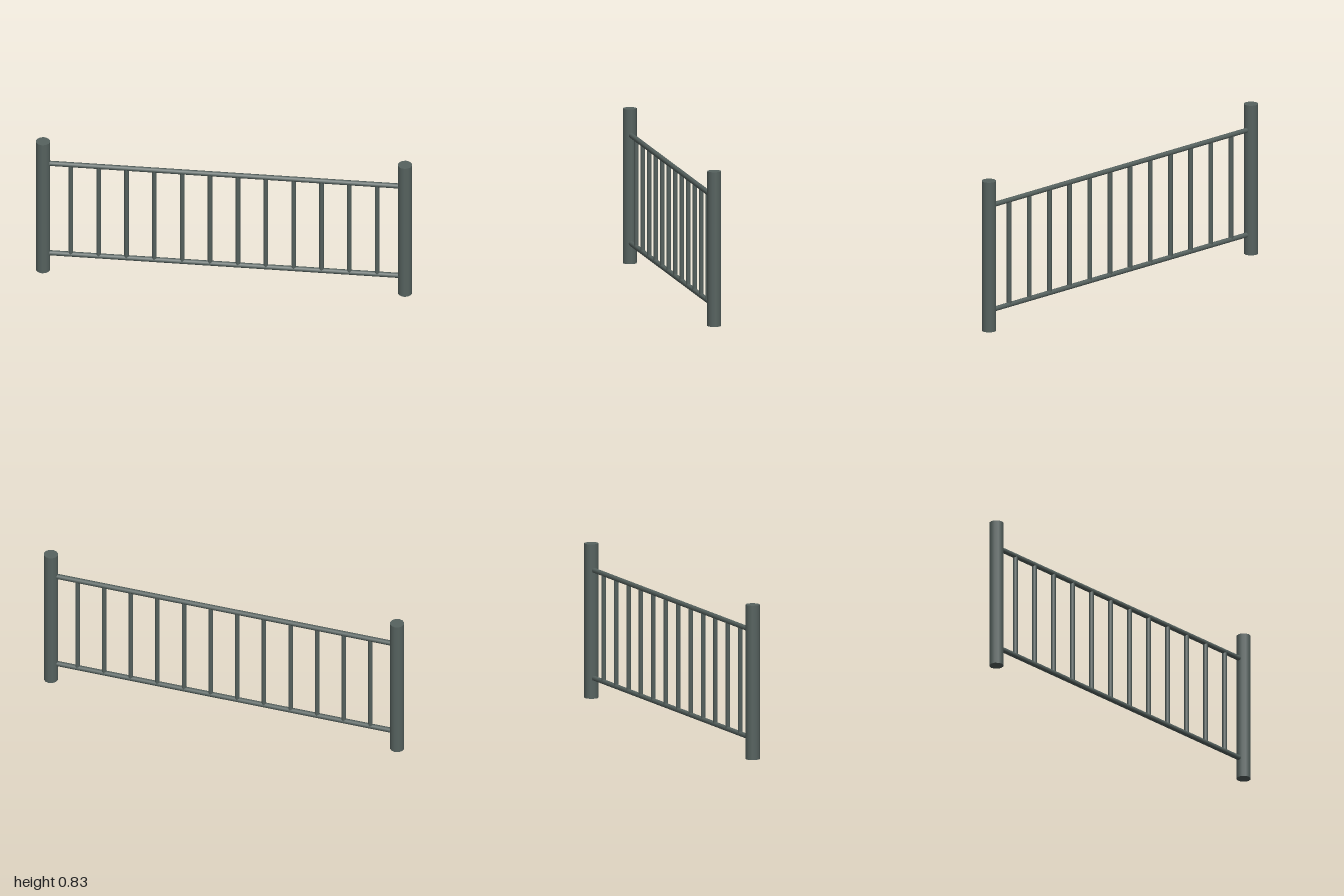
import * as THREE from 'three';

const metal = new THREE.MeshStandardMaterial({ color: 0x56625f });

function rod(name, radius, length, sides, x, y) {
  const mesh = new THREE.Mesh(new THREE.CylinderGeometry(radius, radius, length, sides), metal);
  mesh.name = name;
  mesh.position.set(x, y, 0);
  return mesh;
}

export function createModel() {
  const model = new THREE.Group();
  model.name = 'railing';

  // End posts
  const postHeight = 0.83, postRadius = 0.038, postX = 1 - postRadius;
  for (const [side, sign] of [['left', 1], ['right', -1]]) {
    model.add(rod(`${side}Post`, postRadius, postHeight, 12, sign * postX, postHeight / 2));
  }

  // Horizontal rails, ending inside the posts
  const bottomY = 0.11, topY = 0.69;
  for (const [name, y] of [['bottomRail', bottomY], ['topRail', topY]]) {
    const rail = rod(name, 0.014, 1.88, 8, 0, y);
    rail.rotation.z = Math.PI / 2;
    model.add(rail);
  }

  // Evenly spaced balusters between the rails
  const count = 12, spacing = 0.148;
  const balusters = new THREE.Group();
  balusters.name = 'balusters';
  for (let i = 0; i < count; i++) {
    const x = (i - (count - 1) / 2) * spacing;
    balusters.add(rod('baluster', 0.0125, topY - bottomY, 8, x, (topY + bottomY) / 2));
  }
  model.add(balusters);

  return model;
}
